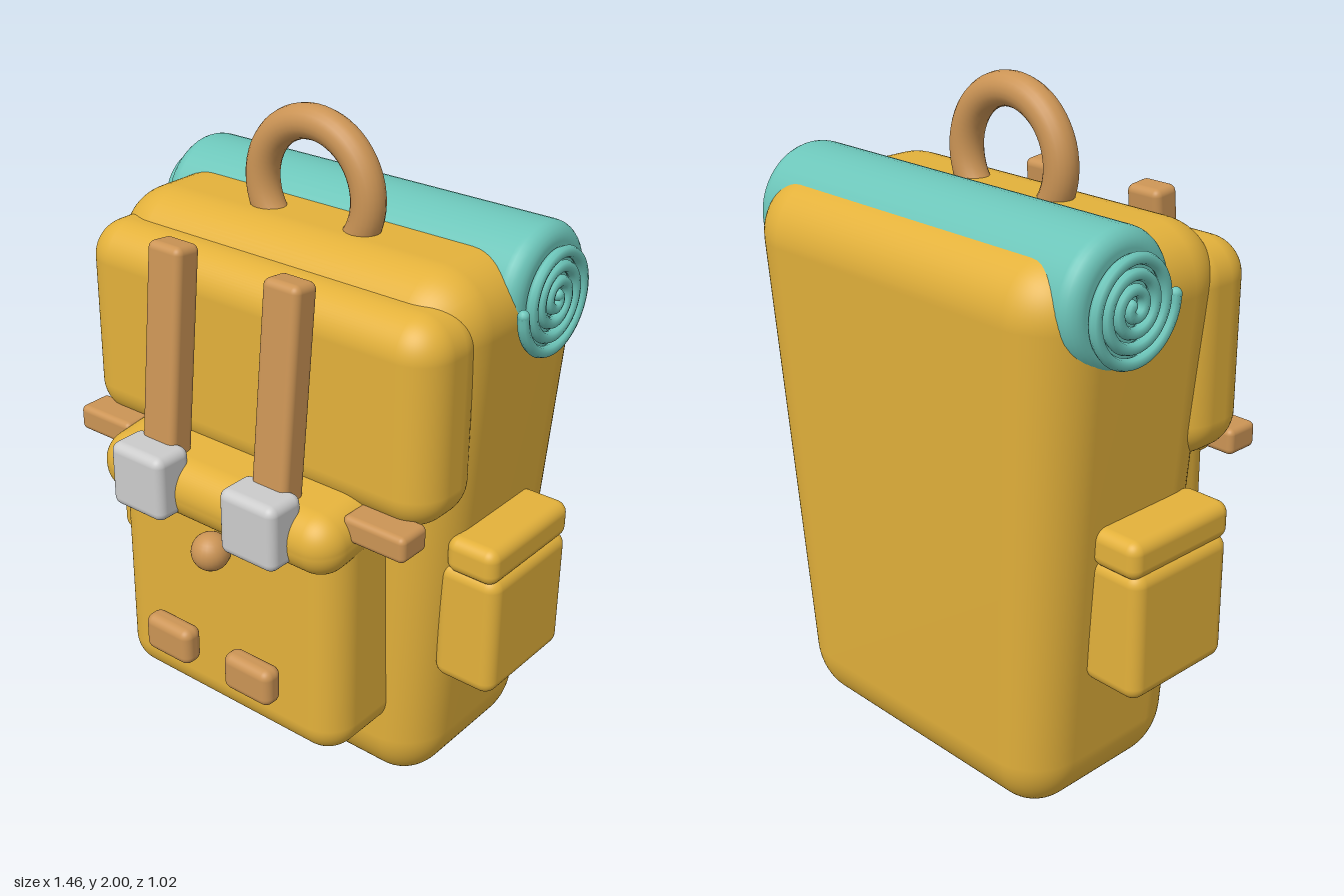
import * as THREE from 'three';
import { RoundedBoxGeometry } from 'three/addons/geometries/RoundedBoxGeometry.js';
import { mergeVertices } from 'three/addons/utils/BufferGeometryUtils.js';

const paint = (color) => new THREE.MeshStandardMaterial({ color });

export function createModel() {
  const model = new THREE.Group();
  const canvas = paint(0xe3b13b);
  const leather = paint(0xcb9455);
  const metal = paint(0xcccccc);
  const wool = paint(0x6cc5b9);

  function add(name, geometry, material, x, y, z, tiltX = 0) {
    const mesh = new THREE.Mesh(geometry, material);
    mesh.name = name;
    mesh.position.set(x, y, z);
    mesh.rotation.x = tiltX;
    model.add(mesh);
    return mesh;
  }
  const box = (w, h, d, r, segments = 5) => new RoundedBoxGeometry(w, h, d, segments, r);

  // Soft box whose width and depth grow or shrink linearly towards the base
  function taperedBox(w, h, d, r, baseX, baseZ) {
    let g = box(w, h, d, r, 8);
    const p = g.attributes.position;
    for (let i = 0; i < p.count; i++) {
      const t = p.getY(i) / h + 0.5;
      p.setX(i, p.getX(i) * THREE.MathUtils.lerp(baseX, 1, t));
      p.setZ(i, p.getZ(i) * THREE.MathUtils.lerp(baseZ, 1, t));
    }
    g.deleteAttribute('uv');
    g.deleteAttribute('normal');
    g = mergeVertices(g, 1e-4);
    g.computeVertexNormals();
    return g;
  }

  // Main bag and its top flap
  add('body', taperedBox(1.285, 1.68, 0.715, 0.18, 0.81, 0.83), canvas, 0, 0.845, -0.155);
  add('topFlap', box(1.245, 0.61, 0.27, 0.11, 8), canvas, 0, 1.31, 0.15);

  // Front pocket with its drooping lid
  add('frontPocket', box(0.84, 0.78, 0.36, 0.1, 8), canvas, 0, 0.625, 0.215);
  add('frontPocketLid', box(0.87, 0.19, 0.36, 0.09, 8), canvas, 0, 0.975, 0.275, 0.12);
  add('button', new THREE.SphereGeometry(0.057, 24, 16), leather, 0, 0.82, 0.43);

  // Carry handle
  add('handle', new THREE.TorusGeometry(0.186, 0.049, 20, 56), leather, 0, 1.765, -0.025);

  // Bedroll with softened rims
  const profile = [new THREE.Vector2(0, -0.632)];
  for (const side of [-1, 1]) {
    for (let i = 0; i <= 6; i++) {
      const a = (side < 0 ? i : 6 - i) * Math.PI / 12;
      profile.push(new THREE.Vector2(0.14 + 0.05 * Math.sin(a), side * (0.582 + 0.05 * Math.cos(a))));
    }
  }
  profile.push(new THREE.Vector2(0, 0.632));
  add('bedroll', new THREE.LatheGeometry(profile, 48), wool, 0, 1.555, -0.255).rotation.z = Math.PI / 2;

  // Spiral layers seen at each end of the bedroll
  const spiralPoints = [];
  const turns = 3.6;
  for (let i = 0; i <= 90; i++) {
    const t = i / 90;
    const r = THREE.MathUtils.lerp(0.156, 0.012, t);
    const a = -t * turns * Math.PI * 2;
    spiralPoints.push(new THREE.Vector3(0, r * Math.sin(a), r * Math.cos(a)));
  }
  const spiralCurve = new THREE.CatmullRomCurve3(spiralPoints);
  const spiral = new THREE.TubeGeometry(spiralCurve, 220, 0.017, 8);

  for (const s of [1, -1]) {
    const side = s > 0 ? 'left' : 'right';
    add(side + 'BedrollSpiral', spiral, wool, s * 0.65, 1.547, -0.243);
    // Rounded tips closing the spiral
    for (const tip of [spiralPoints[0], spiralPoints[90]]) {
      add(side + 'SpiralTip', new THREE.SphereGeometry(0.017, 10, 8), wool,
        s * 0.65, 1.547 + tip.y, -0.243 + tip.z);
    }

    // Closing straps and buckles
    add(side + 'Strap', box(0.122, 0.64, 0.09, 0.022), leather, s * 0.205, 1.345, 0.352, -0.1);
    add(side + 'Buckle', box(0.195, 0.2, 0.13, 0.028), metal, s * 0.205, 1.0, 0.45);

    // Leather tabs at the sides and on the front pocket
    add(side + 'SideTab', box(0.205, 0.078, 0.11, 0.018), leather, s * 0.5, 1.012, 0.29);
    add(side + 'PocketPatch', box(0.175, 0.12, 0.07, 0.028), leather, s * 0.155, 0.463, 0.44);

    // Side pocket and lid
    add(side + 'SidePocket', box(0.2, 0.385, 0.375, 0.04), canvas, s * 0.63, 0.645, -0.098);
    add(side + 'SidePocketLid', box(0.165, 0.112, 0.39, 0.035), canvas, s * 0.642, 0.875, -0.098);
  }
  return model;
}
